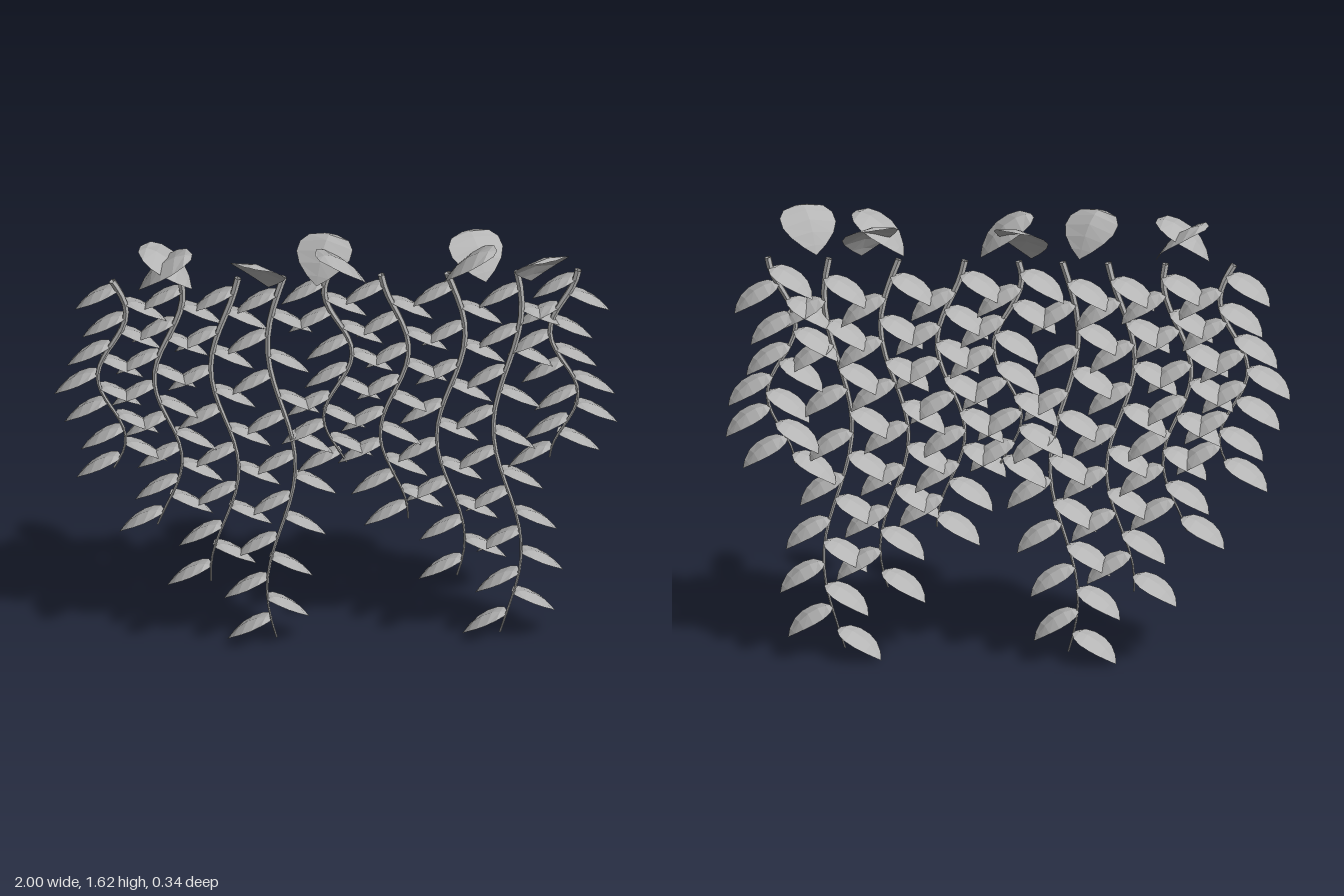
import * as THREE from 'three';

const grey = new THREE.MeshStandardMaterial({ color: 0xb4b4b4, flatShading: true, side: THREE.DoubleSide });
grey.name = 'plain grey';

// Arched, pointed leaf: base at the origin, running along +x and drooping.
function leafGeometry() {
  // distance out, height, half width
  const stations = [
    [0, 0, 0.018], [0.022, 0.004, 0.058], [0.052, -0.003, 0.077], [0.088, -0.021, 0.078],
    [0.12, -0.047, 0.062], [0.145, -0.077, 0.033], [0.16, -0.1, 0.001],
  ];
  const points = [], faces = [];
  stations.forEach(([out, y, w], i) => {
    const droop = 0.015 * (w / 0.078) ** 2;
    points.push(out, y - droop, -w, out, y, 0, out, y - droop, w);
    if (i === 0) return;
    for (let k = 0; k < 2; k++) {
      const a = (i - 1) * 3 + k, b = a + 3;
      faces.push(a, a + 1, b, a + 1, b + 1, b);
    }
  });
  const g = new THREE.BufferGeometry();
  g.setAttribute('position', new THREE.Float32BufferAttribute(points, 3));
  g.setIndex(faces);
  g.computeVertexNormals();
  return g;
}

// Tapered stem along a path
function stemGeometry(path) {
  const rings = 24, sides = 6;
  const g = new THREE.TubeGeometry(path, rings, 0.013, sides, false);
  const p = g.attributes.position, v = new THREE.Vector3();
  for (let i = 0; i <= rings; i++) {
    const centre = path.getPointAt(i / rings);
    const taper = 1 - 0.72 * (i / rings);
    for (let j = 0; j <= sides; j++) {
      const n = i * (sides + 1) + j;
      v.fromBufferAttribute(p, n).sub(centre).multiplyScalar(taper).add(centre);
      p.setXYZ(n, v.x, v.y, v.z);
    }
  }
  g.computeVertexNormals();
  return g;
}

export function createModel() {
  const model = new THREE.Group();
  model.name = 'hangingVines';
  const leaf = leafGeometry();

  function addLeaf(parent, name, position, yaw) {
    const mesh = new THREE.Mesh(leaf, grey);
    mesh.name = name;
    mesh.position.copy(position);
    mesh.rotation.y = yaw;
    parent.add(mesh);
    return mesh;
  }

  // Nine wavy strands in four repeating lengths
  const leafCounts = [13, 15, 15, 17];
  for (let i = 0; i < 9; i++) {
    const length = 0.76 + 0.23 * (i % 4);
    const at = (t) => new THREE.Vector3(
      -0.8 + 0.2 * i + 0.05 * Math.sin(9.25 * t + i), 1.48 - length * t, -0.028 - 0.036 * t);
    const vine = new THREE.Group();
    vine.name = 'vine' + (i + 1);
    const path = new THREE.CatmullRomCurve3(Array.from({ length: 17 }, (_, k) => at(k / 16)));
    const stem = new THREE.Mesh(stemGeometry(path), grey);
    stem.name = 'stem';
    vine.add(stem);

    // Leaves alternate sides and sweep slightly backwards
    const count = leafCounts[i % 4];
    for (let j = 0; j < count; j++) {
      const root = at(0.05 + 0.9 * j / (count - 1));
      addLeaf(vine, 'vineLeaf', root, j % 2 === 0 ? Math.PI - 0.32 : 0.32);
    }
    model.add(vine);
  }

  // Larger leaves along the top: tip x, direction from tip to base (degrees from front), reach
  const crown = new THREE.Group();
  crown.name = 'topLeaves';
  const topLeaves = [
    [-0.71, 82, 0.19], [-0.52, -104, 0.19], [-0.25, -30, 0.145], [-0.08, 155, 0.14],
    [0.1, -72, 0.19], [0.37, 72, 0.19], [0.52, -155, 0.14], [0.68, 25, 0.145],
  ];
  for (const [x, degrees, reach] of topLeaves) {
    const a = THREE.MathUtils.degToRad(degrees);
    const base = new THREE.Vector3(x + reach * Math.sin(a), 1.612, 0.03 + reach * Math.cos(a));
    addLeaf(crown, 'topLeaf', base, a + Math.PI / 2).scale.set(reach / 0.16, 1.42, 1.3);
  }
  model.add(crown);
  return model;
}
